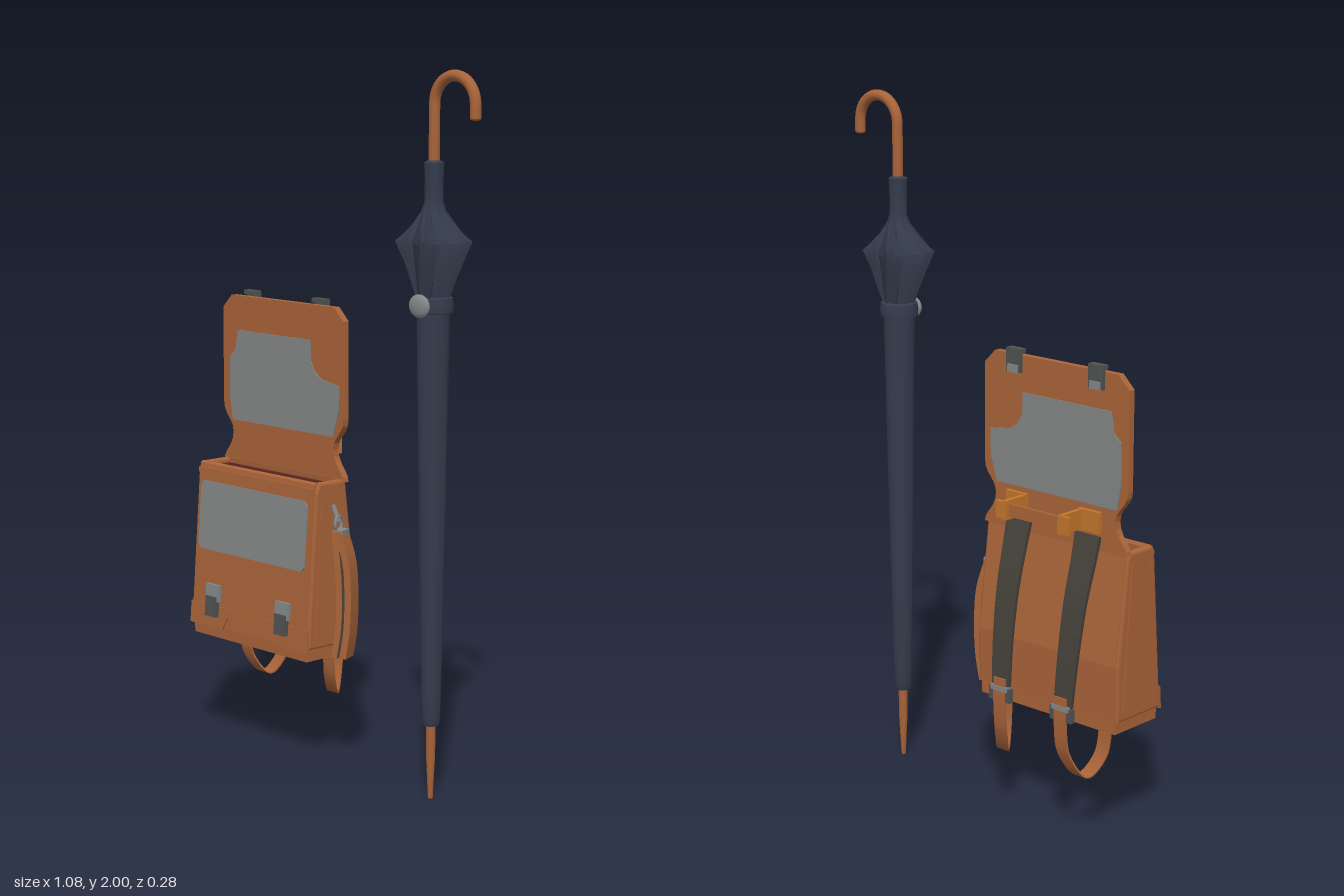
import * as THREE from 'three';
import { toCreasedNormals } from 'three/addons/utils/BufferGeometryUtils.js';

const material = (name, color) => {
  const m = new THREE.MeshStandardMaterial({ color });
  m.name = name;
  return m;
};

export function createModel() {
  const leather = material('tan leather', 0xaa6439);
  const reflector = material('grey panel', 0x858888);
  const navy = material('navy cloth', 0x353c4d);
  const webbing = material('dark strap', 0x45413a);
  const lining = material('dark red lining', 0x6a2d26);
  const amber = material('amber leather', 0xc4762c);
  const steel = material('steel', 0x85898a);
  const darkMetal = material('dark metal', 0x505351);

  const model = new THREE.Group();
  model.name = 'satchelAndUmbrella';
  const bag = new THREE.Group();
  bag.name = 'satchel';
  const umbrella = new THREE.Group();
  umbrella.name = 'umbrella';
  umbrella.position.set(0.37, 0, 0.02);
  model.add(bag, umbrella);

  const add = (parent, name, geo, mat, x = 0, y = 0, z = 0, rx = 0) => {
    const mesh = new THREE.Mesh(geo, mat);
    mesh.name = name;
    mesh.position.set(x, y, z);
    mesh.rotation.x = rx;
    parent.add(mesh);
    return mesh;
  };
  const box = (name, mat, w, h, d, x, y, z, rx = 0) =>
    add(bag, name, new THREE.BoxGeometry(w, h, d), mat, x, y, z, rx);
  const shapeOf = (pts) => new THREE.Shape(pts.map(([x, y]) => new THREE.Vector2(x, y)));
  const plate = (shape, depth) => new THREE.ExtrudeGeometry(shape, { depth, bevelEnabled: false, curveSegments: 6 });
  // side profile given as (z, y), extruded from x0 towards -x
  const sideExtrude = (pts, x0, depth, bevel = 0) => {
    const g = new THREE.ExtrudeGeometry(shapeOf(pts), {
      depth: depth - 2 * bevel, bevelEnabled: bevel > 0, bevelSize: bevel,
      bevelThickness: bevel, bevelOffset: -bevel, bevelSegments: 2,
    });
    return g.rotateY(-Math.PI / 2).translate(x0 - bevel, 0, 0);
  };
  // flat band along a curve, its width lying along x
  const ribbon = (points, w0, w1, t, n = 18) => {
    const curve = new THREE.CatmullRomCurve3(points.map((p) => new THREE.Vector3(...p)));
    const X = new THREE.Vector3(1, 0, 0);
    const rings = [];
    for (let i = 0; i <= n; i++) {
      const c = curve.getPoint(i / n);
      const N = X.clone().cross(curve.getTangent(i / n)).normalize();
      const w = (w0 + (w1 - w0) * (i / n)) / 2;
      rings.push([[1, 1], [-1, 1], [-1, -1], [1, -1]].map(([a, b]) =>
        c.clone().addScaledVector(X, a * w).addScaledVector(N, (b * t) / 2)));
    }
    const v = [];
    const quad = (a, b, c, d) => v.push(a, b, c, a, c, d);
    for (let i = 0; i < n; i++) {
      for (let k = 0; k < 4; k++) {
        const m = (k + 1) % 4;
        quad(rings[i][k], rings[i + 1][k], rings[i + 1][m], rings[i][m]);
      }
    }
    quad(...rings[0]);
    quad(...rings[n].slice().reverse());
    const g = new THREE.BufferGeometry().setFromPoints(v);
    return toCreasedNormals(g, 0.6);
  };

  // ---- satchel body: open U shell, end panels, base ----
  const cx = -0.28;
  add(bag, 'bodyShell', sideExtrude([[0.122, 0.36], [0.088, 0.81], [0.083, 0.835], [0.075, 0.84], [0.07, 0.83],
    [0.1, 0.41], [-0.05, 0.41], [-0.012, 0.84], [-0.028, 0.84], [-0.068, 0.52], [-0.066, 0.36]], -0.032, 0.5), leather);
  const end = [[0.12, 0.36], [0.086, 0.81], [0.074, 0.838], [-0.018, 0.838], [-0.028, 0.825], [-0.066, 0.52], [-0.064, 0.36]];
  for (const x0 of [-0.022, -0.512]) {
    add(bag, 'endPanel', sideExtrude(end, x0, 0.027, 0.007), leather);
    // raised seams down the end panel
    const outer = x0 > -0.1 ? -0.021 : -0.54;
    box('sideSeam', leather, 0.005, 0.42, 0.008, outer, 0.59, 0.078, -0.06);
    box('sideSeam', leather, 0.005, 0.42, 0.008, outer, 0.59, -0.026, 0.07);
  }
  box('base', leather, 0.495, 0.07, 0.178, cx, 0.36, 0.027);
  box('liningFloor', lining, 0.47, 0.006, 0.148, cx, 0.414, 0.025);
  box('frontLining', lining, 0.47, 0.4, 0.004, cx, 0.615, 0.082, -0.07);
  box('backLining', lining, 0.47, 0.41, 0.004, cx, 0.62, -0.028, 0.088);
  for (const x of [-0.509, -0.051]) {
    add(bag, 'endLining', sideExtrude([[0.094, 0.415], [0.068, 0.825], [-0.01, 0.825], [-0.046, 0.415]], x + 0.002, 0.004), lining);
  }

  // ---- front: reflector, lower lip, catches ----
  const tilt = -0.075;
  const faceZ = (y) => 0.122 - 0.0756 * (y - 0.36);
  const front = shapeOf([[-0.505, 0.1], [-0.065, 0.1], [-0.052, 0.085], [-0.052, -0.09],
    [-0.064, -0.103], [-0.506, -0.103], [-0.518, -0.09], [-0.518, 0.085]]);
  add(bag, 'frontReflector', plate(front, 0.004), reflector, 0, 0.685, faceZ(0.685), tilt);
  box('frontRim', leather, 0.5, 0.016, 0.012, cx, 0.815, 0.087, tilt);
  const lip = shapeOf([[-0.538, 0.355], [-0.392, 0.355], [-0.37, 0.395], [-0.19, 0.395], [-0.168, 0.355], [-0.022, 0.355],
    [-0.022, 0.42], [-0.538, 0.42]]);
  add(bag, 'frontLip', plate(lip, 0.006).translate(0, -0.36, 0), leather, 0, 0.36, 0.119, tilt);
  for (const x of [-0.434, -0.128]) {
    box('catchTop', steel, 0.056, 0.05, 0.012, x, 0.46, 0.122, tilt);
    box('catchBody', darkMetal, 0.045, 0.06, 0.016, x, 0.42, 0.128, tilt);
    box('catchLever', darkMetal, 0.03, 0.035, 0.008, x, 0.41, 0.137, tilt);
  }

  // ---- raised flap with framed edge ----
  const flapOutline = (d) => {
    const l = -0.54 + d, r = -0.02 - d, n = 0.042;
    const path = new THREE.Shape();
    path.moveTo(l, 0.83 + d);
    path.bezierCurveTo(l, 0.86, l + n, 0.875, l + n, 0.92);
    path.bezierCurveTo(l + n, 0.96, l, 0.965, l, 1.01);
    path.lineTo(l, 1.29 - d * 0.5);
    path.lineTo(l + 0.038, 1.328 - d);
    path.lineTo(r - 0.038, 1.328 - d);
    path.lineTo(r, 1.29 - d * 0.5);
    path.lineTo(r, 1.01);
    path.bezierCurveTo(r, 0.965, r - n, 0.96, r - n, 0.92);
    path.bezierCurveTo(r - n, 0.875, r, 0.86, r, 0.83 + d);
    return path;
  };
  add(bag, 'flap', plate(flapOutline(0), 0.014), leather, 0, 0, -0.036);
  const frame = flapOutline(0);
  frame.holes.push(flapOutline(0.016));
  add(bag, 'flapFrame', plate(frame, 0.008), leather, 0, 0, -0.023);
  const patch = shapeOf([[-0.505, 0.955], [-0.068, 0.955], [-0.045, 1.03], [-0.043, 1.105], [-0.115, 1.115],
    [-0.145, 1.135], [-0.162, 1.165], [-0.164, 1.225], [-0.48, 1.225], [-0.492, 1.165], [-0.515, 1.145], [-0.518, 1.03]]);
  add(bag, 'flapReflectorInside', plate(patch, 0.004), reflector, 0, 0, -0.023);
  add(bag, 'flapReflectorOutside', plate(patch, 0.004), reflector, 0, 0, -0.039);
  for (const x of [-0.43, -0.135]) {
    box('flapLatch', darkMetal, 0.052, 0.065, 0.01, x, 1.312, -0.041);
    box('flapLatchHook', steel, 0.036, 0.022, 0.014, x, 1.29, -0.044);
    box('flapLatchLip', darkMetal, 0.052, 0.012, 0.022, x, 1.34, -0.034);
  }

  // ---- shoulder straps, lower loops and grab handle ----
  for (const s of [-1, 1]) {
    const at = (d) => cx + s * d;
    add(bag, 'shoulderStrap', ribbon([[at(0.125), 0.87, -0.038], [at(0.125), 0.8, -0.056], [at(0.123), 0.68, -0.088],
      [at(0.12), 0.53, -0.112], [at(0.115), 0.385, -0.125]], 0.088, 0.062, 0.011), webbing);
    box('strapBuckle', darkMetal, 0.076, 0.04, 0.016, at(0.114), 0.372, -0.128);
    box('strapBuckleBar', steel, 0.06, 0.014, 0.022, at(0.114), 0.39, -0.128);
    add(bag, 'lowerLoop', ribbon([[at(0.113), 0.42, -0.134], [at(0.113), 0.34, -0.134], [at(0.118), 0.25, -0.122],
      [at(0.148), 0.183, -0.08], [at(0.178), 0.24, -0.038], [at(0.187), 0.345, -0.025]], 0.044, 0.044, 0.005, 28), leather);
    box('handleFoot', amber, 0.075, 0.06, 0.014, at(0.133), 0.91, -0.042);
    box('handleArm', amber, 0.014, 0.055, 0.09, at(0.102), 0.91, -0.083);
    box('handleArmEnd', amber, 0.04, 0.05, 0.012, at(0.113), 0.91, -0.124);
  }
  box('grabHandle', leather, 0.2, 0.036, 0.009, cx, 0.91, -0.114);

  // ---- hanging side pouch with clip ----
  const pouch = new THREE.Group();
  pouch.name = 'sidePouch';
  pouch.position.set(0.016, 0, 0.018);
  pouch.rotation.y = 1.96;
  bag.add(pouch);
  const arc = (o) => [[0, 0.7, -0.012 + o * 0.4], [0, 0.61, 0.006 + o], [0, 0.5, 0.012 + o], [0, 0.41, 0.008 + o], [0, 0.335, -0.004 + o]];
  add(pouch, 'pouchOuter', ribbon(arc(0.013), 0.05, 0.056, 0.02), leather);
  add(pouch, 'pouchGusset', ribbon(arc(0), 0.044, 0.05, 0.012), webbing);
  add(pouch, 'pouchInner', ribbon(arc(-0.014), 0.05, 0.056, 0.018), leather);
  add(pouch, 'clipPlate', new THREE.BoxGeometry(0.045, 0.03, 0.03), steel, 0, 0.69, -0.008);
  add(pouch, 'clipRing', new THREE.TorusGeometry(0.022, 0.005, 6, 16), steel, 0, 0.72, -0.016);
  add(pouch, 'clipHook', new THREE.CylinderGeometry(0.007, 0.009, 0.05, 8), steel, 0, 0.75, -0.024, -0.35);

  // ---- umbrella ----
  const lathe = (pts, seg) => new THREE.LatheGeometry(pts.map(([r, y]) => new THREE.Vector2(r, y)), seg);
  add(umbrella, 'ferrule', lathe([[0, 0], [0.007, 0], [0.013, 0.12], [0.014, 0.225]], 12), leather);
  add(umbrella, 'wrappedCloth', toCreasedNormals(lathe([[0, 0.208], [0.022, 0.21], [0.026, 0.225], [0.028, 0.3],
    [0.038, 0.85], [0.046, 1.39]], 14), 0.6), navy);
  add(umbrella, 'closingBand', toCreasedNormals(lathe([[0.044, 1.352], [0.054, 1.355], [0.056, 1.375], [0.053, 1.395],
    [0.042, 1.398]], 20), 0.6), navy);
  const button = add(umbrella, 'bandButton', new THREE.SphereGeometry(1, 18, 10), steel, 0, 1.375, 0.053);
  button.scale.set(0.038, 0.032, 0.012);

  // gathered canopy: ten swirling pleats, [valley radius, tip radius, height]
  const rows = [[0.038, 0.043, 1.385], [0.044, 0.056, 1.42], [0.054, 0.082, 1.49], [0.062, 0.104, 1.545], [0.055, 0.088, 1.56],
    [0.042, 0.056, 1.595], [0.03, 0.034, 1.625], [0.023, 0.025, 1.65], [0.024, 0.025, 1.7], [0.027, 0.027, 1.755], [0.012, 0.012, 1.762]];
  const canopy = lathe(rows.map((r) => [r[1], r[2]]), 80);
  const pos = canopy.attributes.position;
  for (let i = 0; i < pos.count; i++) {
    const [valley, tip, y] = rows[i % rows.length];
    const step = Math.floor(i / rows.length);
    const k = step % 8;
    const fold = k <= 6 ? k / 6 : 0.5;
    const r = valley + (tip - valley) * fold * fold;
    const a = (step / 80) * Math.PI * 2 + (r - 0.03) * 7;
    pos.setXYZ(i, r * Math.sin(a), y, r * Math.cos(a));
  }
  add(umbrella, 'canopyFolds', toCreasedNormals(canopy, 0.5), navy);

  // crook handle
  const crook = new THREE.CurvePath();
  const V = (x, y) => new THREE.Vector3(x, y, 0);
  const bend = [];
  for (let i = 0; i <= 12; i++) {
    const a = Math.PI * (1 - i / 12);
    bend.push(V(0.075 + 0.075 * Math.cos(a), 1.909 + 0.075 * Math.sin(a)));
  }
  crook.add(new THREE.LineCurve3(V(0, 1.74), V(0, 1.909)));
  crook.add(new THREE.CatmullRomCurve3(bend));
  crook.add(new THREE.LineCurve3(V(0.15, 1.909), V(0.15, 1.875)));
  add(umbrella, 'crookHandle', new THREE.TubeGeometry(crook, 48, 0.0155, 12), leather);
  add(umbrella, 'crookEnd', new THREE.SphereGeometry(0.0155, 12, 8), leather, 0.15, 1.875, 0).scale.y = 0.5;

  return model;
}
